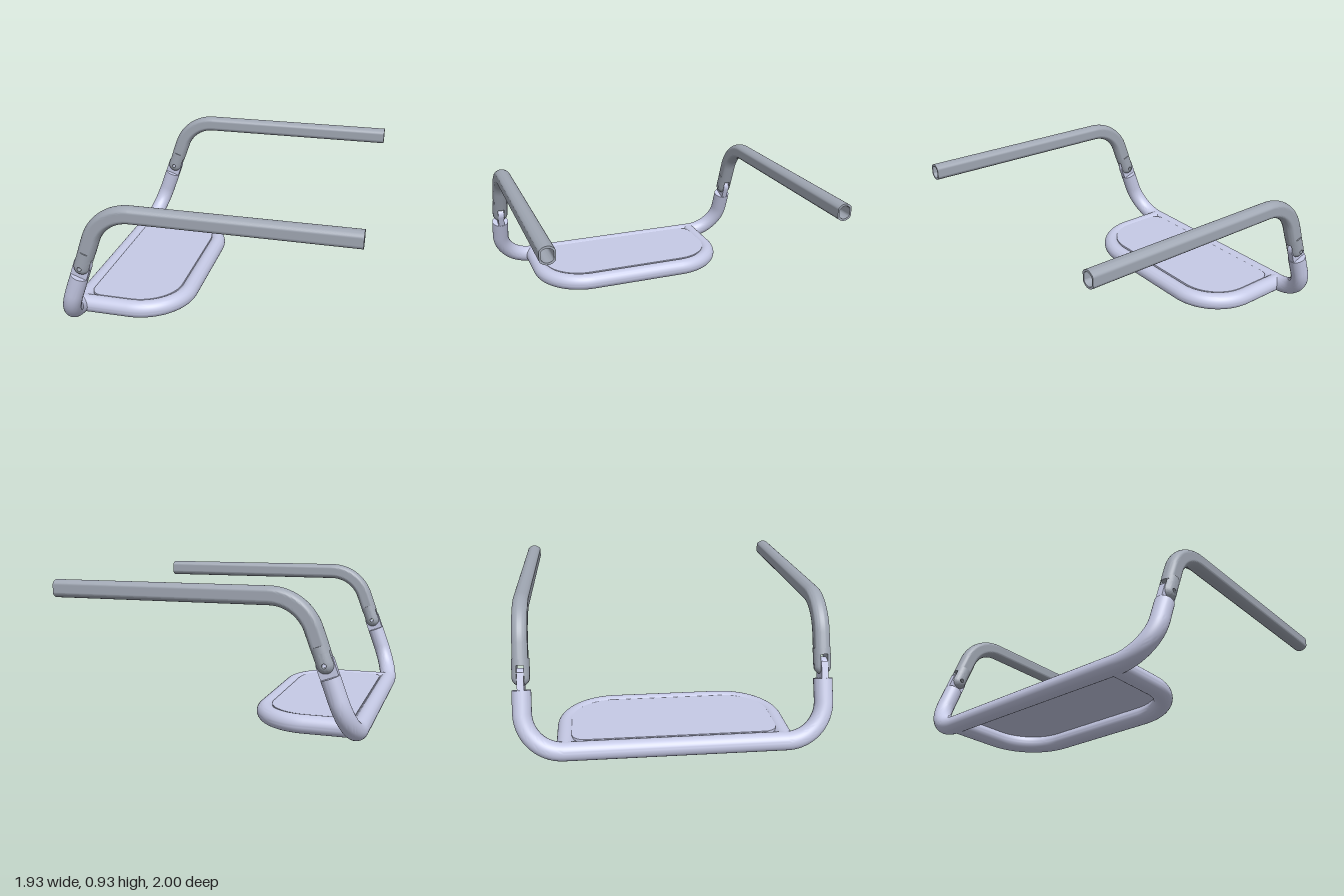
import * as THREE from 'three';
import { toCreasedNormals } from 'three/addons/utils/BufferGeometryUtils.js';

const V = (x, y, z) => new THREE.Vector3(x, y, z);
const R = 0.0595;                    // base tube radius
const LEAN = THREE.MathUtils.degToRad(20);
const S = Math.sin(LEAN), C = Math.cos(LEAN);
const ZC = 0.9405;                   // arm centre line
const BACK_X = -0.91;
const PIVOT = V(BACK_X + 0.4634 * S, R + 0.4634 * C, 0);

// Skin over a series of closed rings with equal point counts
function loft(rings, crease = 0.6) {
  const n = rings[0].length, index = [];
  for (let i = 0; i < rings.length - 1; i++) {
    for (let j = 0; j < n; j++) {
      const k = (j + 1) % n;
      const a = i * n + j, b = i * n + k, c = b + n, d = a + n;
      index.push(a, b, c, a, c, d);
    }
  }
  const g = new THREE.BufferGeometry().setFromPoints(rings.flat());
  g.setIndex(index);
  return toCreasedNormals(g, crease);
}

// Sweep a section along a flat path; a hollow sweep folds back inside itself
function sweep(path, normal, section, hollow = 0) {
  const ring = (i, scale) => {
    const t = path[Math.min(i + 1, path.length - 1)].clone().sub(path[Math.max(i - 1, 0)]).normalize();
    const side = normal.clone().cross(t);
    return section.map(([a, b]) => path[i].clone().addScaledVector(side, a * scale).addScaledVector(normal, b * scale));
  };
  const rings = path.map((p, i) => ring(i, 1));
  if (hollow) {
    for (let i = path.length - 1; i >= 0; i--) rings.push(ring(i, hollow));
  } else {
    rings.unshift(ring(0, 0));
    rings.push(ring(path.length - 1, 0));
  }
  return loft(rings);
}

// Arc points as [u, v] pairs
function arc(cx, cy, r, from, to, n = 20) {
  return Array.from({ length: n + 1 }, (_, i) => {
    const a = THREE.MathUtils.degToRad(from + (to - from) * i / n);
    return [cx + r * Math.cos(a), cy + r * Math.sin(a)];
  });
}

const circle = arc(0, 0, R, 0, 360, 40).slice(0, -1);
// Round section with flattened sides
const flatRound = arc(0, 0, 0.0565, 0, 360, 48).slice(0, -1)
  .map(([a, b]) => [a, THREE.MathUtils.clamp(b, -0.0475, 0.0475)]);

// One cheek of the hinge fork: drilled, rounded outside, flat towards the slot
function cheekGeometry() {
  const r = 0.0555, z0 = 0.0225, w = Math.sqrt(r * r - z0 * z0), top = 0.072, hole = 0.014;
  const outline = arc(0, 0, w, 180, 360, 24);
  for (let i = 1; i <= 4; i++) outline.push([w, top * i / 4]);
  for (let i = 1; i <= 12; i++) outline.push([w - 2 * w * i / 12, top]);
  for (let i = 3; i >= 1; i--) outline.push([-w, top * i / 4]);
  const bulge = (x, y) => Math.sqrt(Math.max(z0 * z0, r * r - x * x - Math.min(y, 0) ** 2));
  const ring = (f, flat) => outline.map(([x, y]) => {
    const k = hole / Math.hypot(x, y), m = k + (1 - k) * f;
    return V(x * m, y * m, flat ? z0 : bulge(x * m, y * m));
  });
  const rings = [ring(0, true), ring(1, true)];
  for (let i = 8; i >= 0; i--) rings.push(ring(i / 8, false));
  rings.push(ring(0, true));
  return loft(rings);
}

// Flat drilled tongue standing on the base tube
function tongueGeometry() {
  const w = 0.0555, s = new THREE.Shape();
  s.moveTo(-w, -0.09);
  s.lineTo(w, -0.09);
  s.lineTo(w, 0);
  s.absarc(0, 0, w, 0, Math.PI * 0.83, false);
  s.lineTo(-w, 0.03);
  s.closePath();
  s.holes.push(new THREE.Path().absarc(0, 0, 0.014, 0, Math.PI * 2, true));
  return new THREE.ExtrudeGeometry(s, { depth: 0.042, bevelEnabled: false, curveSegments: 20 }).translate(0, 0, -0.021);
}

export function createModel() {
  const model = new THREE.Group();
  model.name = 'foldingFrame';
  const baseMat = new THREE.MeshStandardMaterial({ color: 0xc6cae6 });
  const armMat = new THREE.MeshStandardMaterial({ color: 0xa0a7b3 });
  const add = (parent, name, geometry, material) => {
    const m = new THREE.Mesh(geometry, material);
    m.name = name;
    parent.add(m);
    return m;
  };

  // Leaning U tube: rail along the floor with both ends turned up
  const bend = 0.245, zb = ZC - bend, end = 0.385;
  const uPath = [[-ZC, end], ...arc(-zb, bend, bend, 180, 270), ...arc(zb, bend, bend, 270, 360), [ZC, end]]
    .map(([z, s]) => V(BACK_X + s * S, R + s * C, z));
  add(model, 'backTube', sweep(uPath, V(C, -S, 0), circle), baseMat);

  // Foot loop lying on the floor
  const fz = 0.6835, fx = -0.2445, fr = 0.3255;
  const footPath = [[BACK_X, -fz], ...arc(fx - fr, -fz + fr, fr, -90, 0), ...arc(fx - fr, fz - fr, fr, 0, 90), [BACK_X, fz]]
    .map(([x, z]) => V(x, R, z));
  add(model, 'footTube', sweep(footPath, V(0, 1, 0), circle), baseMat);

  // Foot plate resting between the tubes
  const x0 = -0.868, x1 = -0.29, pz = 0.65, pr = 0.28, small = 0.085;
  const plate = new THREE.Shape([
    ...arc(x0 + small, -pz + small, small, 180, 270, 10),
    ...arc(x1 - pr, -pz + pr, pr, 270, 360),
    ...arc(x1 - pr, pz - pr, pr, 0, 90),
    ...arc(x0 + small, pz - small, small, 90, 180, 10),
  ].map(([x, y]) => new THREE.Vector2(x, y)));
  const plateGeo = new THREE.ExtrudeGeometry(plate, { depth: 0.018, bevelEnabled: false });
  plateGeo.rotateX(-Math.PI / 2).translate(0, 0.094, 0);
  add(model, 'footPlate', plateGeo, baseMat);

  // Arm path: up along the lean, then bent level towards +x
  const armY = 0.8775, armR = 0.28;
  const corner = PIVOT.x + (armY - PIVOT.y) * S / C;
  const bendX = corner + armR * Math.tan((Math.PI / 2 - LEAN) / 2);
  const armPath = [[PIVOT.x + 0.11 * S, PIVOT.y + 0.11 * C], ...arc(bendX, armY - armR, armR, 160, 90, 24), [0.965, armY]]
    .map(([x, y]) => V(x, y, 0));
  const armGeo = sweep(armPath, V(0, 0, 1), flatRound, 0.76);
  const cheek = cheekGeometry(), tongue = tongueGeometry();
  const collar = new THREE.CylinderGeometry(0.0555, 0.0555, 0.042, 40).translate(0, 0.093, 0);

  for (const [side, sz] of [['front', 1], ['back', -1]]) {
    const arm = new THREE.Group();
    arm.name = side + 'Arm';
    arm.position.z = sz * ZC;
    model.add(arm);
    add(arm, side + 'ArmTube', armGeo, armMat);

    // Hinge between arm and base
    const hinge = new THREE.Group();
    hinge.name = side + 'Hinge';
    hinge.position.copy(PIVOT);
    hinge.rotation.z = -LEAN;
    arm.add(hinge);
    add(hinge, 'hingeTongue', tongue, baseMat);
    add(hinge, 'forkCollar', collar, armMat);
    add(hinge, 'forkCheek', cheek, armMat);
    add(hinge, 'forkCheek', cheek, armMat).rotation.y = Math.PI;
  }
  return model;
}
